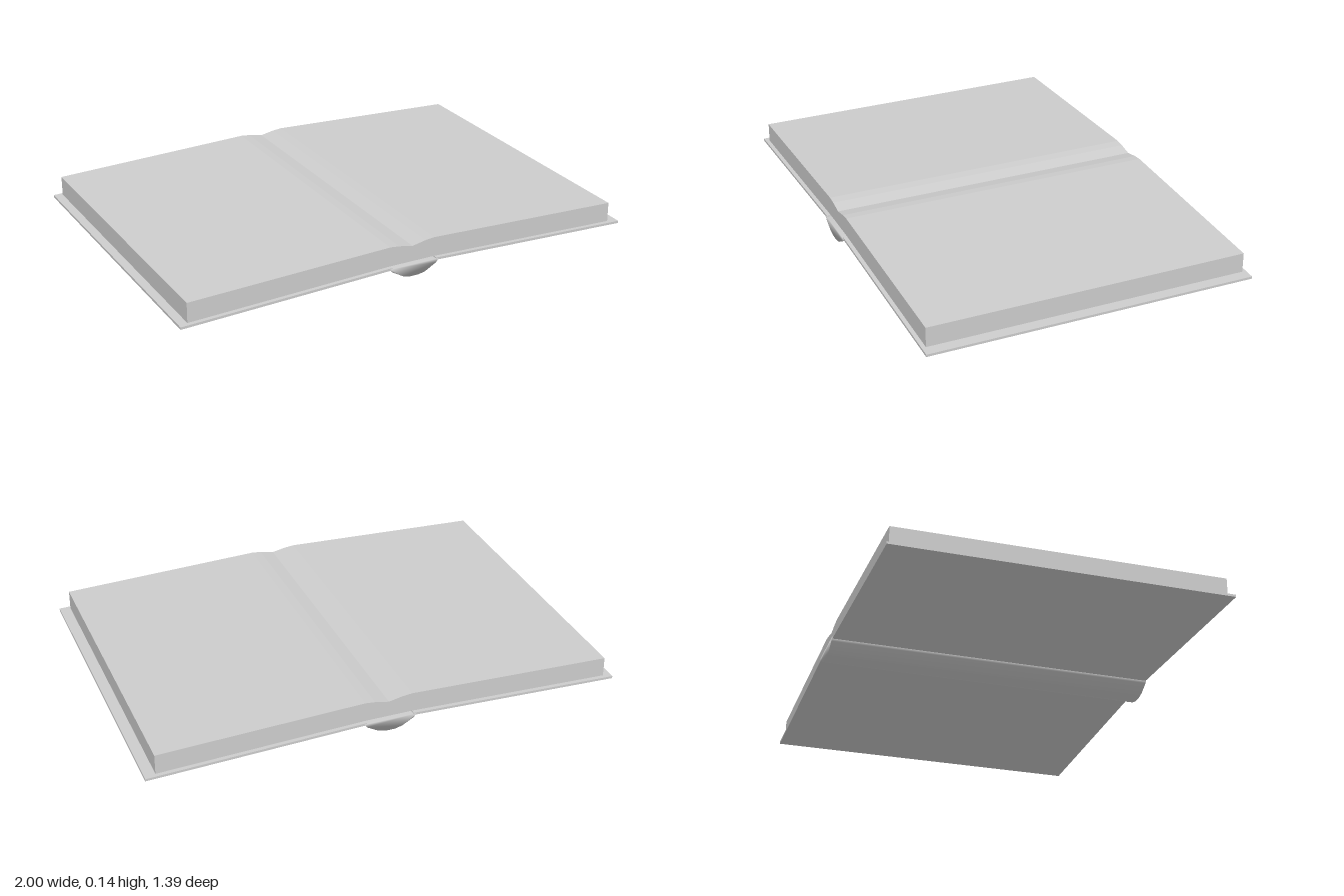
import * as THREE from 'three';
import { mergeVertices } from 'three/addons/utils/BufferGeometryUtils.js';

// Extrude a cross-section centred along z
function prism(points, halfDepth) {
  const shape = new THREE.Shape();
  shape.setFromPoints(points);
  const geo = new THREE.ExtrudeGeometry(shape, { depth: 2 * halfDepth, bevelEnabled: false });
  geo.translate(0, 0, -halfDepth);
  return geo;
}

function point(x, y) {
  return new THREE.Vector2(x, y);
}

function part(name, geometry, material) {
  const mesh = new THREE.Mesh(geometry, material);
  mesh.name = name;
  return mesh;
}

export function createModel() {
  const book = new THREE.Group();
  book.name = 'openBook';
  const grey = new THREE.MeshStandardMaterial({ color: 0xcccccc });
  grey.name = 'grey';

  // Page block: two gently sloping halves with a shallow gutter
  const pageSection = [
    point(-0.965, 0.022), point(-0.1, 0.054), point(0.1, 0.054), point(0.955, 0.022),
    point(0.955, 0.105), point(0.1, 0.136), point(0.06, 0.132), point(0, 0.12),
    point(-0.06, 0.132), point(-0.1, 0.136), point(-0.965, 0.105),
  ];
  book.add(part('pages', prism(pageSection, 0.675), grey));

  // Thin cover boards
  for (const side of [1, -1]) {
    const coverSection = [
      point(side * 0.1, 0.044), point(side, 0.01),
      point(side, 0.02), point(side * 0.1, 0.054),
    ];
    const coverName = side > 0 ? 'leftCover' : 'rightCover';
    book.add(part(coverName, prism(coverSection, 0.692), grey));
  }

  // Rounded spine, shaded smoothly over its ends
  const spineSection = [
    point(-0.11, 0.05), point(-0.1, 0.035), point(-0.05, 0.007), point(-0.02, 0),
    point(0.02, 0), point(0.05, 0.007), point(0.1, 0.035), point(0.11, 0.05),
  ];
  const spine = prism(spineSection, 0.694);
  spine.deleteAttribute('normal');
  spine.deleteAttribute('uv');
  const smoothSpine = mergeVertices(spine);
  smoothSpine.computeVertexNormals();
  book.add(part('spine', smoothSpine, grey));

  return book;
}
